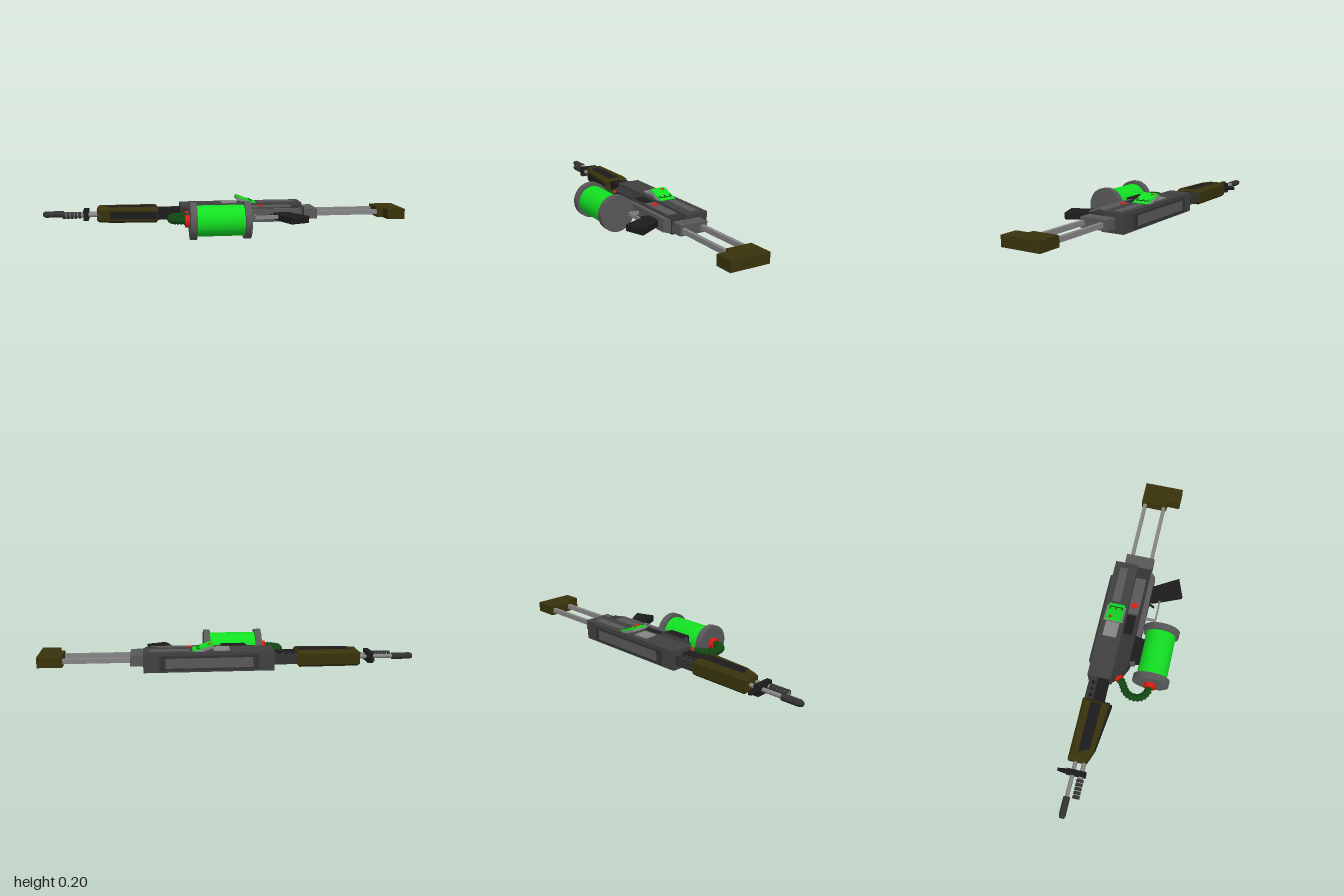
import * as THREE from 'three';

const MID = 0.103; // height of the weapon's plane of symmetry
const mat = (color) => new THREE.MeshStandardMaterial({ color });
const M = {
  dark: mat(0x333333), body: mat(0x404040), mid: mat(0x585858), light: mat(0x858585),
  black: mat(0x1c1c1c), olive: mat(0x38330c), green: mat(0x12e022),
  hose: mat(0x124a12), red: mat(0xe01a10),
};

export function createModel() {
  const root = new THREE.Group();
  root.name = 'rifle';

  const add = (name, geo, m, parent = root) => {
    const mesh = new THREE.Mesh(geo, m);
    mesh.name = name;
    parent.add(mesh);
    return mesh;
  };
  // box given by its limits
  const box = (name, m, x0, x1, y0, y1, z0, z1, parent) => {
    const b = add(name, new THREE.BoxGeometry(x1 - x0, y1 - y0, z1 - z0), m, parent);
    b.position.set((x0 + x1) / 2, (y0 + y1) / 2, (z0 + z1) / 2);
    return b;
  };
  // outline in x and z, raised from y0 to y1, optionally bevelled
  const slab = (name, m, pts, y0, y1, bevel = 0) => {
    const s = new THREE.Shape(pts.map(([x, z]) => new THREE.Vector2(x, -z)));
    const g = new THREE.ExtrudeGeometry(s, {
      depth: y1 - y0 - 2 * bevel, bevelEnabled: bevel > 0, bevelSize: bevel,
      bevelOffset: -bevel, bevelThickness: bevel, bevelSegments: 1,
    });
    g.rotateX(-Math.PI / 2).translate(0, y0 + bevel, 0);
    return add(name, g, m);
  };
  // cylinder along x
  const rod = (name, m, x0, x1, y, z, r, seg = 12, r0 = r) => {
    const g = new THREE.CylinderGeometry(r0, r, x1 - x0, seg).rotateZ(Math.PI / 2);
    g.translate((x0 + x1) / 2, y, z);
    return add(name, g, m);
  };

  // receiver: thick upper part, thinner lower part, side panels
  box('upperReceiver', M.body, -0.245, 0.445, 0.05, 0.155, -0.203, -0.074);
  box('topRail', M.dark, -0.16, 0.36, 0.062, 0.14, -0.215, -0.2);
  box('topRailPanel', M.mid, -0.13, 0.33, 0.075, 0.128, -0.217, -0.21);
  slab('lowerReceiver', M.dark, [[-0.245, -0.08], [-0.19, -0.02], [-0.14, 0.005],
    [0.44, 0.005], [0.44, -0.08]], 0.062, 0.14);
  slab('receiverBase', M.mid, [[-0.13, 0], [-0.12, 0.03], [0.4, 0.033], [0.435, 0]], 0.067, 0.138);
  slab('magazineWell', M.black, [[-0.12, 0], [-0.11, 0.055], [0.02, 0.055], [0.03, 0]], 0.075, 0.141);
  for (const s of [1, -1]) {
    const side = (name, m, x0, x1, z0, z1, inner, outer) =>
      box(name, m, x0, x1, ...[MID + s * inner, MID + s * outer].sort((a, b) => a - b), z0, z1);
    side('receiverPanel', M.mid, 0.2, 0.41, -0.17, -0.125, 0.05, 0.054);
    side('controlPanel', M.mid, 0.15, 0.37, -0.07, -0.012, 0.03, 0.043);
    side('ejectionPort', M.black, 0.03, 0.14, -0.07, -0.02, 0.03, 0.041);
  }
  const button = add('fireSelector', new THREE.CylinderGeometry(0.017, 0.017, 0.01, 16), M.red);
  button.position.set(0.2, 0.146, -0.043);

  // tilted screen unit
  box('screenBase', M.light, -0.01, 0.075, 0.15, 0.162, -0.175, -0.1);
  const screen = new THREE.Group();
  screen.name = 'screenUnit';
  screen.position.set(0.13, 0.172, -0.136);
  screen.rotation.z = -0.33;
  root.add(screen);
  box('screenHousing', M.light, -0.056, 0.05, -0.015, -0.002, -0.053, 0.053, screen);
  box('screenGlass', M.green, -0.058, 0.058, -0.004, 0.005, -0.045, 0.045, screen);
  box('screenBaseline', M.hose, 0.03, 0.035, 0.004, 0.007, -0.036, 0.036, screen);
  for (const z of [-0.034, 0, 0.034]) box('screenTick', M.hose, 0.015, 0.033, 0.004, 0.007, z - 0.003, z + 0.003, screen);
  const marker = add('screenMarker', new THREE.CylinderGeometry(0.012, 0.012, 0.003, 3), M.red, screen);
  marker.position.set(-0.04, 0.006, -0.02);
  marker.rotation.y = Math.PI / 2;

  // sliding stock
  box('stockCoupling', M.mid, 0.44, 0.515, 0.075, 0.131, -0.155, 0.005);
  for (const z of [-0.125, -0.013]) {
    box('stockRod', M.light, 0.5, 0.89, 0.09, 0.116, z - 0.01, z + 0.01);
  }
  slab('buttPad', M.olive, [[0.868, -0.145], [0.868, 0], [0.9, 0.005], [0.9, 0.076],
    [1, 0.076], [1, -0.145]], 0.074, 0.13);

  // grip, trigger and guard
  slab('grip', M.black, [[0.26, 0.03], [0.26, 0.05], [0.325, 0.206], [0.43, 0.167],
    [0.35, 0.03]], 0.081, 0.12, 0.004);
  box('triggerGuardFront', M.light, 0.15, 0.16, 0.093, 0.113, 0.025, 0.09);
  box('triggerGuardBottom', M.light, 0.15, 0.28, 0.093, 0.113, 0.081, 0.09);
  slab('trigger', M.black, [[0.24, 0.025], [0.228, 0.062], [0.236, 0.064], [0.253, 0.025]], 0.096, 0.11);

  // side drum with end plates
  const dy = 0.1, dz = 0.134;
  rod('drum', M.green, -0.18, 0.085, dy, dz, 0.083, 32);
  for (const x of [-0.21, 0.078]) rod('drumEndPlate', M.mid, x, x + 0.035, dy, dz, 0.1, 40);
  rod('drumValve', M.red, -0.235, -0.2, dy, dz, 0.033, 16);

  // ribbed hose from the drum to the receiver
  const path = new THREE.CatmullRomCurve3([[-0.22, 0.134], [-0.26, 0.128], [-0.296, 0.1],
    [-0.303, 0.055], [-0.28, 0.012], [-0.24, -0.012], [-0.205, -0.045]]
    .map(([x, z]) => new THREE.Vector3(x, dy + 0.003, z)));
  add('hose', new THREE.TubeGeometry(path, 32, 0.018, 10), M.hose);
  for (let i = 1; i < 15; i++) {
    const ring = add('hoseRib', new THREE.TorusGeometry(0.017, 0.006, 6, 12), M.hose);
    ring.position.copy(path.getPointAt(i / 16));
    ring.lookAt(ring.position.clone().add(path.getTangentAt(i / 16)));
  }
  const plug = add('hosePlug', new THREE.CylinderGeometry(0.024, 0.024, 0.03, 12), M.red);
  plug.position.set(-0.212, dy + 0.003, -0.04);
  plug.quaternion.setFromUnitVectors(new THREE.Vector3(0, 1, 0), path.getTangentAt(0.99));

  // gas block between receiver and handguard
  box('gasBlock', M.dark, -0.375, -0.24, 0.078, 0.13, -0.19, -0.14);
  box('gasBlockLower', M.black, -0.375, -0.24, 0.072, 0.134, -0.145, -0.085);
  for (const x of [-0.345, -0.31, -0.275]) {
    const vent = add('vent', new THREE.CylinderGeometry(0.011, 0.011, 0.055, 12), M.black);
    vent.position.set(x, MID + 0.001, -0.164);
  }

  // handguard with recessed-looking panels
  slab('handguard', M.olive, [[-0.705, -0.197], [-0.705, -0.1], [-0.63, -0.072],
    [-0.37, -0.05], [-0.37, -0.197]], 0.061, 0.146, 0.012);
  slab('handguardPanel', M.black, [[-0.66, -0.15], [-0.635, -0.095], [-0.385, -0.09],
    [-0.385, -0.15]], 0.059, 0.148);
  slab('handguardGrip', M.black, [[-0.64, -0.09], [-0.63, -0.07], [-0.375, -0.038],
    [-0.375, -0.09]], 0.083, 0.123);

  // barrel, gas tube and front sight
  rod('barrel', M.light, -0.92, -0.69, MID, -0.156, 0.011);
  rod('muzzle', M.dark, -0.985, -0.89, MID, -0.156, 0.018);
  rod('muzzleTip', M.dark, -1, -0.985, MID, -0.156, 0.018, 12, 0.013);
  rod('gasTube', M.light, -0.89, -0.69, MID, -0.11, 0.012);
  for (let i = 0; i < 5; i++) {
    rod('gasTubeRing', M.dark, -0.89 + i * 0.021, -0.875 + i * 0.021, MID, -0.11, 0.019);
  }
  box('frontSightBase', M.black, -0.778, -0.75, 0.075, 0.131, -0.19, -0.088);
  const post = add('frontSightPost', new THREE.CylinderGeometry(0.01, 0.018, 0.052, 4, 1)
    .rotateY(Math.PI / 4).rotateX(-Math.PI / 2), M.black);
  post.position.set(-0.764, MID, -0.212);

  return root;
}
